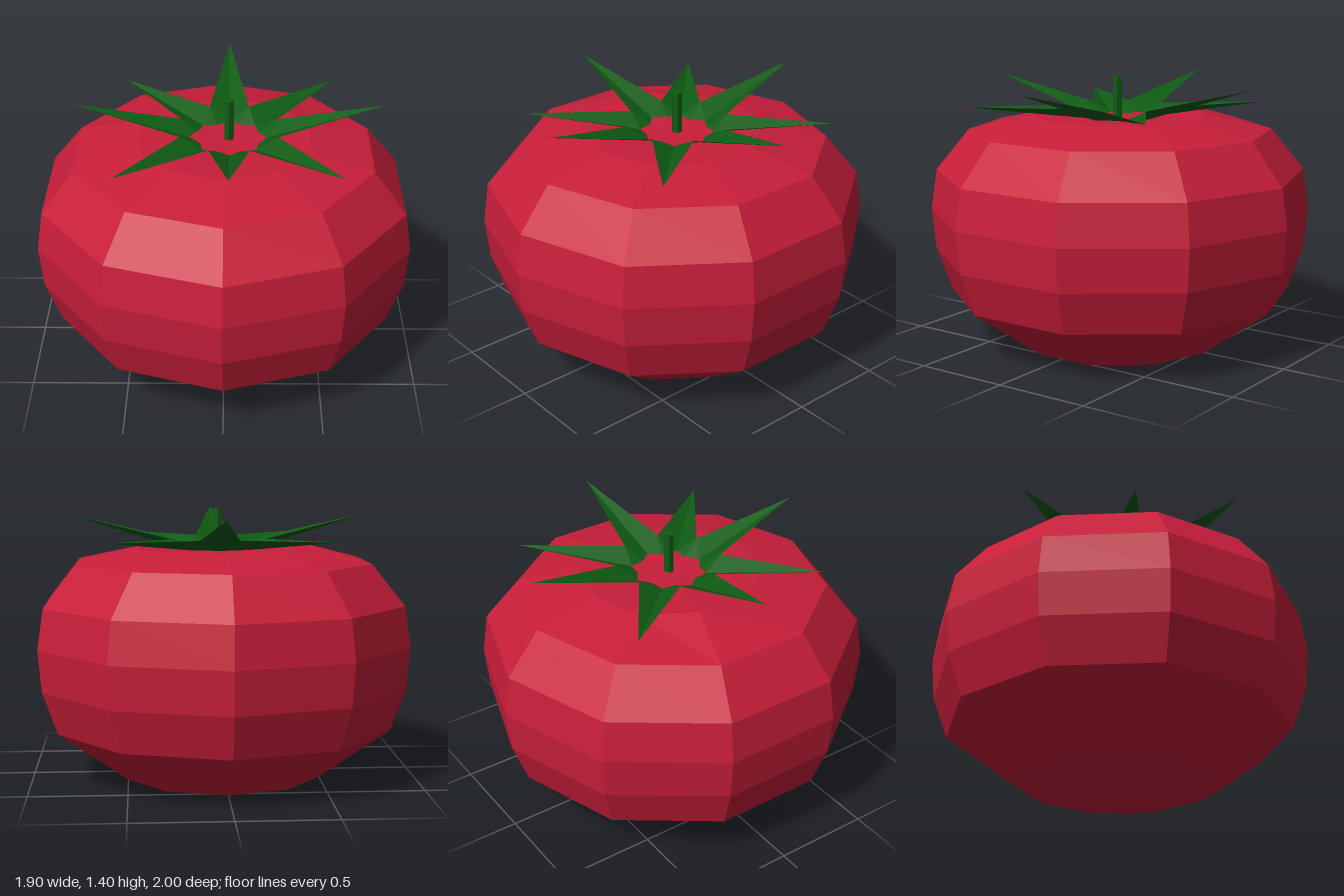
import * as THREE from 'three';

const RED = new THREE.MeshStandardMaterial({ color: 0xc81e3a, flatShading: true });
const GREEN = new THREE.MeshStandardMaterial({ color: 0x0f5c14, flatShading: true });
const LEAF = new THREE.MeshStandardMaterial({ color: 0x0f5c14, flatShading: true, side: THREE.DoubleSide });

// Ten-sided fruit turned from a profile of radius and height
function makeFruit() {
  const profile = [
    [0, 0], [0.536, 0], [0.9, 0.265], [0.98, 0.487], [1, 0.705],
    [0.968, 0.915], [0.795, 1.128], [0.46, 1.2], [0, 1.19],
  ].map(([r, y]) => new THREE.Vector2(r, y));
  const geometry = new THREE.LatheGeometry(profile, 10);
  // One corner of the shoulder ring swells slightly
  geometry.attributes.position.setY(7 * profile.length + 7, 1.223);
  const mesh = new THREE.Mesh(geometry, RED);
  mesh.name = 'fruit';
  return mesh;
}

// One pointed leaf along +z, folded into a channel along its midrib
function makeLeaf(tipY) {
  const half = Math.PI / 8;
  const at = (r, a, y) => [r * Math.sin(a), y, r * Math.cos(a)];
  const tip = at(0.79, 0, tipY);
  const rib = at(0.19, 0, 1.193);
  const triangles = [];
  for (const s of [-1, 1]) {
    const valley = at(0.27, s * half, 1.25);
    const inner = at(0.16, s * half, 1.193);
    const faces = [[rib, valley, tip], [rib, inner, valley]];
    for (const [a, b, c] of faces) triangles.push(...(s > 0 ? [a, c, b] : [a, b, c]));
  }
  const geometry = new THREE.BufferGeometry();
  geometry.setAttribute('position', new THREE.Float32BufferAttribute(triangles.flat(), 3));
  geometry.computeVertexNormals();
  return new THREE.Mesh(geometry, LEAF);
}

export function createModel() {
  const model = new THREE.Group();
  model.name = 'tomato';
  model.add(makeFruit());

  // Star of eight leaves, alternately raised and low, around the stem
  const calyx = new THREE.Group();
  calyx.name = 'calyx';
  calyx.position.x = 0.025;
  for (let i = 0; i < 8; i++) {
    const leaf = makeLeaf(i % 2 ? 1.26 : 1.38);
    leaf.name = 'leaf';
    leaf.rotation.y = (i * Math.PI) / 4;
    calyx.add(leaf);
  }

  const stem = new THREE.Mesh(new THREE.CylinderGeometry(0.027, 0.027, 0.255, 6), GREEN);
  stem.name = 'stem';
  stem.position.y = 1.2775;
  calyx.add(stem);

  model.add(calyx);
  return model;
}
